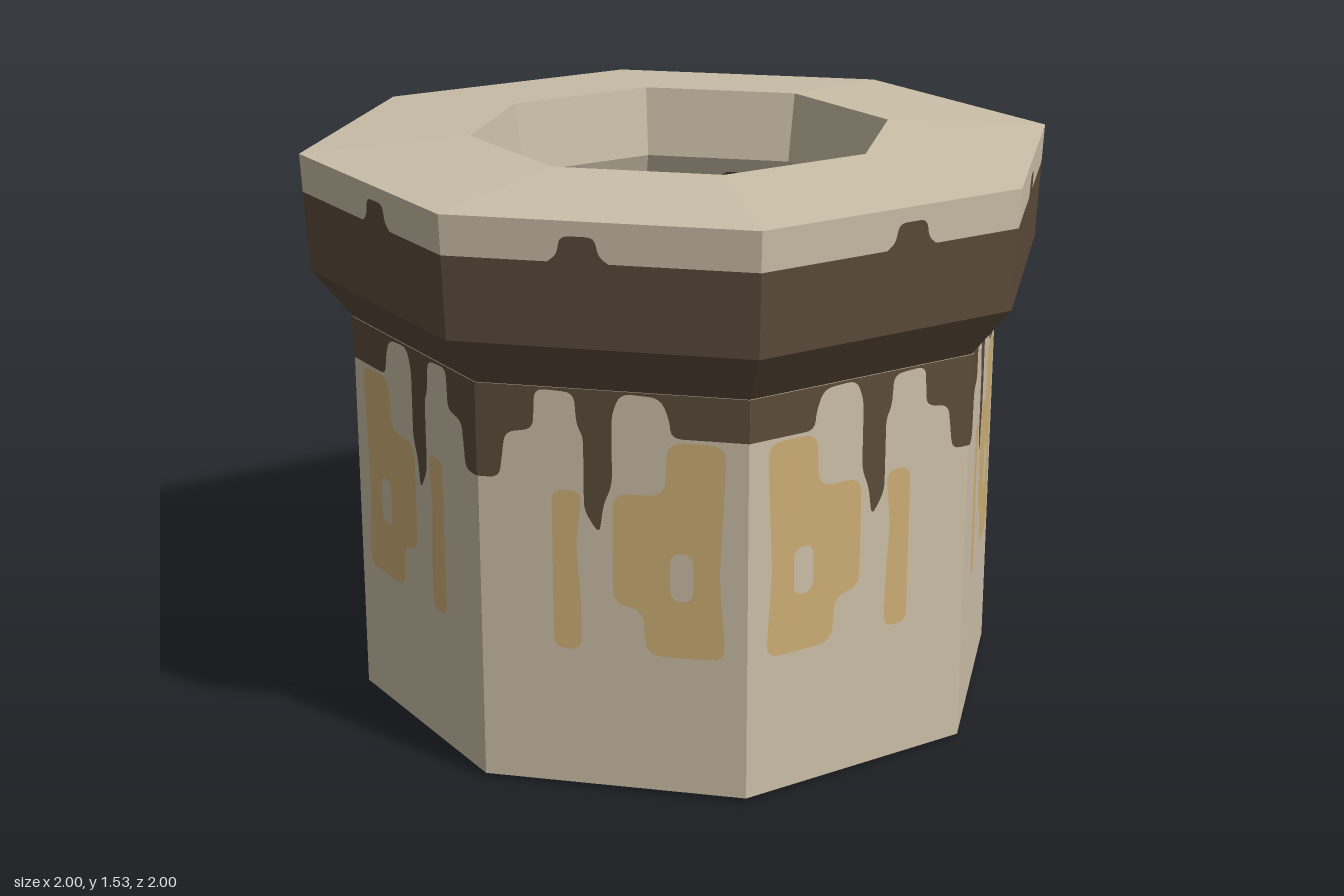
import * as THREE from 'three';

const paint = (name, hex) => {
  const m = new THREE.MeshStandardMaterial({ color: hex, side: THREE.DoubleSide });
  m.name = name;
  return m;
};

export function createModel() {
  const stone = paint('paleStone', 0xcabea7);
  const grime = paint('darkGrime', 0x5b4b3a);
  const rust = paint('ochreStain', 0xcdae75);
  const water = paint('waterBlue', 0x5e737f);
  const algae = paint('algae', 0x40453d);

  const model = new THREE.Group();
  model.name = 'octagonalPipe';

  const add = (name, geometry, material, parent = model) => {
    const mesh = new THREE.Mesh(geometry, material);
    mesh.name = name;
    parent.add(mesh);
    return mesh;
  };

  // Faceted eight-sided ring from a [radius, height] profile
  const ring = (name, profile, material) => {
    const pts = profile.map(([r, y]) => new THREE.Vector2(r, y));
    const g = new THREE.LatheGeometry(pts, 8).toNonIndexed();
    g.computeVertexNormals();
    return add(name, g, material);
  };

  // Polygon with softened corners; corners passing keepSharp stay square
  const softShape = (pts, radius, keepSharp = () => false, Type = THREE.Shape) => {
    const shape = new Type();
    const v = pts.map(([x, y]) => new THREE.Vector2(x, y));
    v.forEach((p, i) => {
      const prev = v[(i + v.length - 1) % v.length];
      const next = v[(i + 1) % v.length];
      const k = keepSharp(p) ? 0 : radius;
      const a = p.clone().lerp(prev, Math.min(0.45, k / p.distanceTo(prev)));
      const b = p.clone().lerp(next, Math.min(0.45, k / p.distanceTo(next)));
      if (i === 0) shape.moveTo(a.x, a.y);
      else shape.lineTo(a.x, a.y);
      if (k > 0) shape.quadraticCurveTo(p.x, p.y, b.x, b.y);
    });
    shape.closePath();
    return shape;
  };

  // Lay a flat shape (x across the side, y height) onto all eight sides,
  // mirrored on every second side
  const onSides = (name, shape, material, width, radiusAt) => {
    const group = new THREE.Group();
    group.name = name;
    model.add(group);
    for (let i = 0; i < 8; i++) {
      const g = new THREE.ShapeGeometry(shape, 4);
      const p = g.attributes.position;
      const from = (i % 2 ? i + 1 : i) * Math.PI / 4;
      const to = (i % 2 ? i : i + 1) * Math.PI / 4;
      for (let j = 0; j < p.count; j++) {
        const s = p.getX(j) / width, y = p.getY(j), r = radiusAt(y);
        p.setXYZ(j,
          r * ((1 - s) * Math.sin(from) + s * Math.sin(to)), y,
          r * ((1 - s) * Math.cos(from) + s * Math.cos(to)));
      }
      g.computeVertexNormals();
      add(name + (i + 1), g, material, group);
    }
  };

  // Body, rim and hollow inside
  ring('bodyWall', [[0.88, 0.013], [0.88, 1.06]], stone);
  ring('rimGrimeBand', [[0.88, 1.06], [0.985, 1.19], [0.995, 1.4]], grime);
  ring('rimTop', [[0.995, 1.4], [1, 1.5], [0.56, 1.53], [0.53, 1.34], [0.569, 1.25]], stone);
  ring('innerWall', [[0.569, 1.25], [0.7, 0.95], [0.78, 0.06], [0.88, 0.013]], grime);

  // Water core
  ring('waterCore', [[0, 0.002], [0.67, 0.002], [0.67, 0.8], [0, 0.8]], water);

  // Grime running down the body from under the rim
  const W = 0.6222;
  const drips = softShape([
    [0, 1.06], [0, 0.95], [0.175, 0.95], [0.18, 1.0], [0.2, 1.05], [0.29, 1.055],
    [0.31, 1.0], [0.31, 0.82], [0.33, 0.77], [0.34, 0.69], [0.375, 0.75], [0.375, 0.94],
    [0.39, 0.97], [0.395, 1.05], [0.485, 1.055], [0.49, 0.95], [0.555, 0.94],
    [0.57, 0.82], [W, 0.82], [W, 1.06],
  ], 0.025, p => p.x === 0 || p.x === W);
  onSides('drip', drips, grime, W, () => 0.884);

  // Ochre stains: one blotch with a hole, one bar
  const blotch = softShape([
    [0.05, 0.94], [0.185, 0.94], [0.19, 0.8], [0.31, 0.8], [0.31, 0.51],
    [0.24, 0.5], [0.235, 0.38], [0.05, 0.38], [0.065, 0.6],
  ], 0.04);
  blotch.holes.push(softShape(
    [[0.125, 0.53], [0.178, 0.53], [0.178, 0.655], [0.125, 0.655]], 0.03, undefined, THREE.Path));
  onSides('blotch', blotch, rust, W, () => 0.8825);
  const bar = softShape([
    [0.38, 0.8], [0.45, 0.8], [0.45, 0.38], [0.385, 0.38], [0.385, 0.5], [0.395, 0.66],
  ], 0.03);
  onSides('stainBar', bar, rust, W, () => 0.8825);

  // Small humps of grime on the rim, outside and inside
  const hump = (x, y, w, h) => softShape([
    [x - w, y], [x - w * 0.65, y + h * 0.3], [x - w * 0.55, y + h],
    [x + w * 0.55, y + h], [x + w * 0.65, y + h * 0.3], [x + w, y],
  ], 0.02, p => p.y === y);
  onSides('rimHump', hump(0.4, 1.399, 0.07, 0.065), grime, 0.7071,
    y => 0.985 + 0.015 * (y - 1.19) / 0.31 + 0.003);
  onSides('innerHump', hump(0.24, 1.249, 0.05, 0.05), grime, 0.4,
    y => 0.53 + 0.17 * (1.34 - y) / 0.39 - 0.004);

  // Algae along one edge of the water, above and below
  const weed = softShape([
    [-0.57, 0.05], [-0.5, 0.02], [-0.44, 0.02], [-0.43, 0.12], [-0.37, 0.12], [-0.36, 0.21],
    [-0.41, 0.22], [-0.4, 0.3], [-0.31, 0.3], [-0.31, 0.11], [-0.23, 0.11], [-0.23, 0.3],
    [-0.19, 0.3], [-0.19, 0.22], [-0.11, 0.22], [-0.11, 0.29], [-0.02, 0.29], [-0.01, 0.21],
    [-0.05, 0.2], [-0.05, 0.12], [0, 0.12], [0.01, 0.21], [0.06, 0.22], [0.06, 0.33],
    [0.02, 0.35], [0.07, 0.42], [0.07, 0.5], [0.12, 0.49], [0.12, 0.31], [0.2, 0.31],
    [0.2, 0.41], [0.24, 0.4], [0.24, 0.2], [0.32, 0.2], [0.32, 0.36], [0.41, 0.4],
    [0, 0.58], [-0.41, 0.41],
  ], 0.03);
  weed.holes.push(softShape(
    [[-0.17, 0.33], [-0.12, 0.33], [-0.12, 0.455], [-0.17, 0.43]], 0.02, undefined, THREE.Path));
  const spot = softShape([[-0.3, -0.08], [-0.25, -0.08], [-0.25, 0.01], [-0.3, 0.01]], 0.03);
  const weedGeometry = () => new THREE.ShapeGeometry([weed, spot], 4).rotateX(Math.PI / 2);
  add('algaeTop', weedGeometry().translate(0, 0.804, 0), algae);
  add('algaeBottom', weedGeometry().rotateY(Math.PI / 2).scale(1.12, 1, 1.12), algae);

  return model;
}
